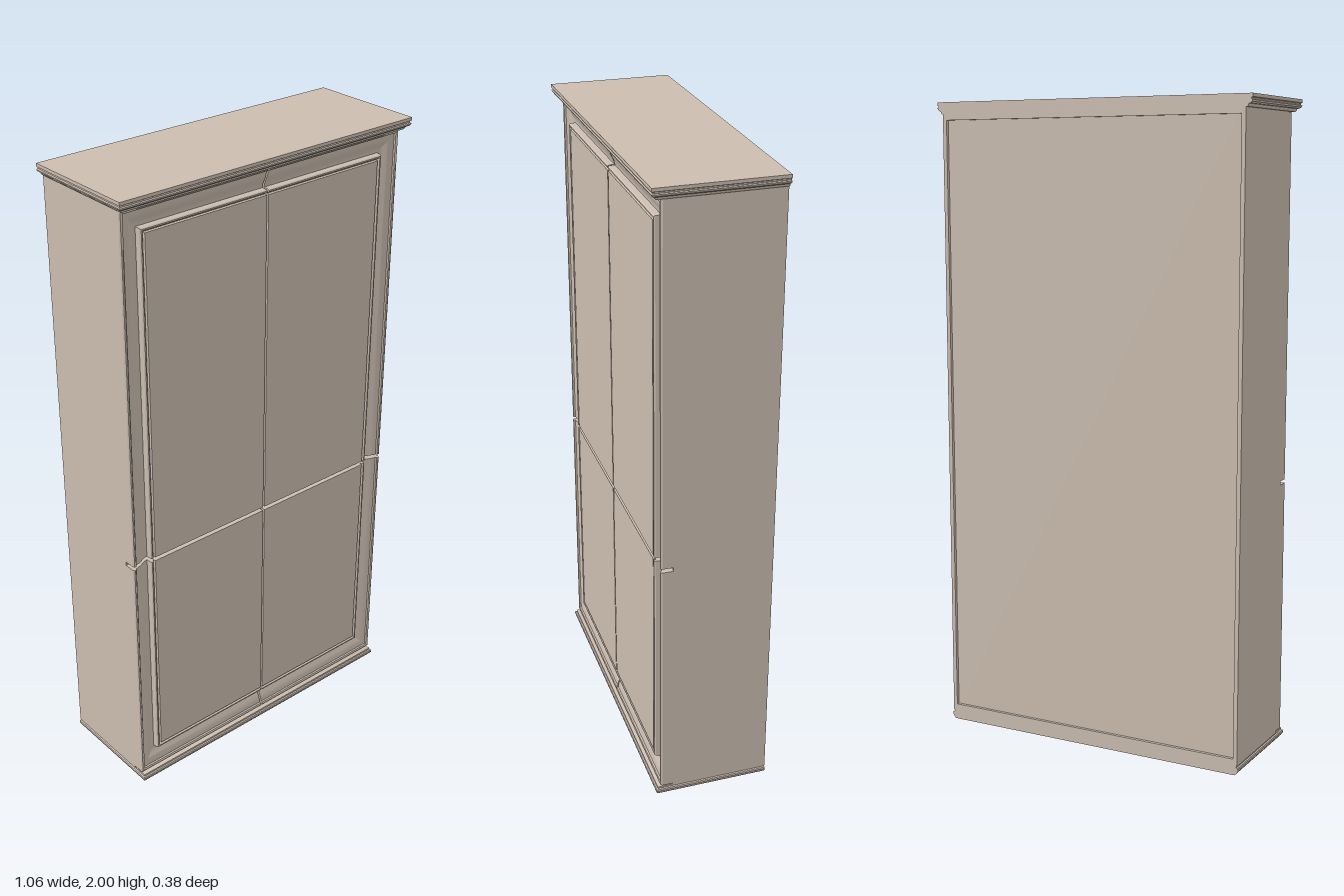
import * as THREE from 'three';
import { toCreasedNormals } from 'three/addons/utils/BufferGeometryUtils.js';

const wood = new THREE.MeshStandardMaterial({ color: 0xcbbdb0 });

// Skins rows of [x, y, z] points; "closed" joins the last column to the first.
function loft(out, rows, closed = false, flip = false) {
  for (let i = 0; i + 1 < rows.length; i++) {
    const n = rows[i].length;
    for (let j = 0; j < (closed ? n : n - 1); j++) {
      const k = (j + 1) % n;
      const a = rows[i][j], b = rows[i][k], c = rows[i + 1][k], d = rows[i + 1][j];
      out.push(...(flip ? [a, c, b, a, d, c] : [a, b, c, a, c, d]));
    }
  }
}

function toMesh(name, points) {
  const g = new THREE.BufferGeometry();
  g.setAttribute('position', new THREE.Float32BufferAttribute(points.flat(), 3));
  g.computeVertexNormals();
  const mesh = new THREE.Mesh(toCreasedNormals(g, 0.5), wood);
  mesh.name = name;
  return mesh;
}

function box(name, x0, x1, y0, y1, z0, z1) {
  const mesh = new THREE.Mesh(new THREE.BoxGeometry(x1 - x0, y1 - y0, z1 - z0), wood);
  mesh.position.set((x0 + x1) / 2, (y0 + y1) / 2, (z0 + z1) / 2);
  mesh.name = name;
  return mesh;
}

// Moulding round the front and both sides, flush at the back; profile is [overhang, y] upwards.
function moulding(name, profile) {
  const pts = [];
  const rings = profile.map(([o, y]) => {
    const x = 0.505 + o, z = 0.165 + o;
    return [[-x, y, z], [x, y, z], [x, y, -0.19], [-x, y, -0.19]];
  });
  loft(pts, rings, true);
  const [a, b, c, d] = rings[rings.length - 1];
  loft(pts, [[a, b], [d, c]]);
  const [e, f, g, h] = rings[0];
  loft(pts, [[e, f], [h, g]], false, true);
  return toMesh(name, pts);
}

// Door section: [distance in from the outer edge, z]
const DOOR_BACK = 0.12;
const doorProfile = [
  [0, DOOR_BACK], [0, 0.154], [0.003, 0.159], [0.007, 0.16], [0.011, 0.158], [0.013, 0.153],
  [0.022, 0.152], [0.034, 0.148], [0.046, 0.142], [0.056, 0.138], [0.065, 0.137],
  [0.066, 0.154], [0.069, 0.158], [0.073, 0.158], [0.076, 0.154], [0.077, 0.149],
  [0.08, 0.149], [0.081, 0.157],
];

// Door framed on its outer side and on its top or bottom, plain along the two seams.
function door(name, sx, seamY, endY) {
  const sy = Math.sign(endY - seamY), flip = sx * sy < 0;
  const X = 0.51 * sx, inner = 0.003 * sx, pts = [];
  const rows = doorProfile.map(([d, z]) => {
    const x = X - d * sx, y = endY - d * sy;
    return [[x, seamY, z], [x, y, z], [inner, y, z]];
  });
  loft(pts, rows, false, flip);
  // flat centre panel
  const [a, b, c] = rows[rows.length - 1];
  const corner = [inner, seamY, a[2]];
  loft(pts, [[a, b], [corner, c]], false, flip);
  // edges along the two seams
  const toBack = (p) => [p[0], p[1], DOOR_BACK];
  const low = [...rows.slice(1).map((r) => r[0]), corner];
  const mid = [...rows.slice(1).map((r) => r[2]), corner];
  loft(pts, [low, low.map(toBack)], false, flip);
  loft(pts, [mid.map(toBack), mid], false, flip);
  return toMesh(name, pts);
}

export function createModel() {
  const model = new THREE.Group();
  model.name = 'wardrobe';

  // Carcass with the back panel set in between the sides and rails
  model.add(
    box('carcassAndBackPanel', -0.497, 0.497, 0.028, 1.966, -0.18, DOOR_BACK),
    box('backTopRail', -0.497, 0.497, 1.945, 1.966, -0.19, -0.18),
    box('backBottomRail', -0.497, 0.497, 0.028, 0.05, -0.19, -0.18),
  );

  for (const [side, sx] of [['left', 1], ['right', -1]]) {
    const xs = [0.497 * sx, 0.51 * sx].sort((p, q) => p - q);
    model.add(
      box(side + 'SidePanel', xs[0], xs[1], 0.028, 1.966, -0.19, DOOR_BACK),
      door(side + 'UpperDoor', sx, 0.845, 1.962),
      door(side + 'LowerDoor', sx, 0.833, 0.035),
    );
  }

  model.add(
    moulding('baseMoulding', [
      [-0.002, 0], [0.003, 0.005], [0.008, 0.012], [0.009, 0.018], [0.007, 0.022],
      [0.003, 0.024], [0.003, 0.03],
    ]),
    moulding('cornice', [
      [0.002, 1.963], [0.008, 1.963], [0.012, 1.967], [0.013, 1.972], [0.018, 1.973],
      [0.023, 1.977], [0.025, 1.982], [0.021, 1.984], [0.021, 1.988], [0.025, 1.99], [0.025, 2],
    ]),
  );
  return model;
}
